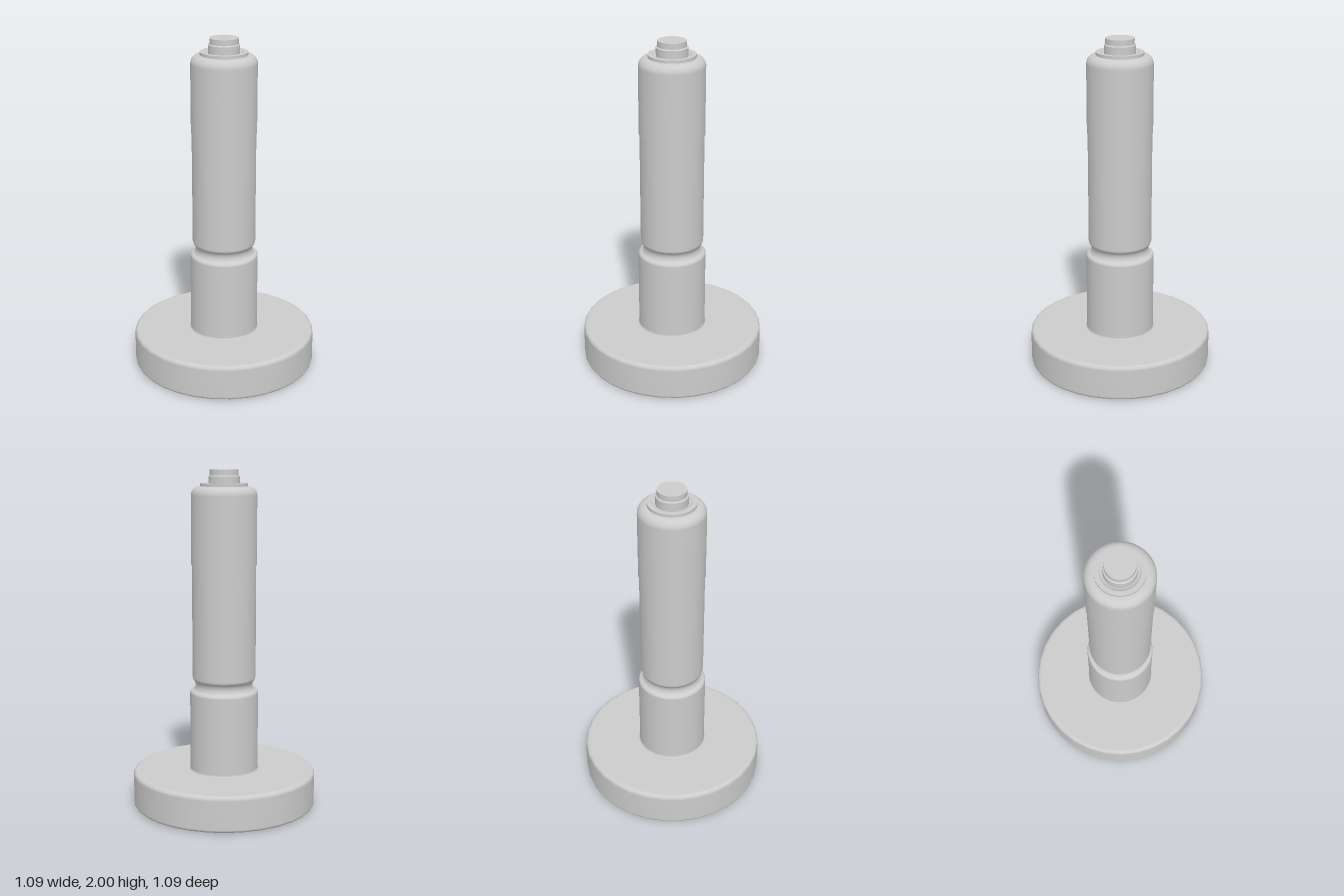
import * as THREE from 'three';

const SIDES = 32;
const material = new THREE.MeshStandardMaterial({ color: 0xcccccc });

// Quarter-round profile points, from angle a0 to a1 (degrees) about (cx, cy)
function arc(cx, cy, r, a0, a1, steps = 5) {
  return Array.from({ length: steps + 1 }, (_, i) => {
    const a = THREE.MathUtils.degToRad(a0 + ((a1 - a0) * i) / steps);
    return [cx + r * Math.cos(a), cy + r * Math.sin(a)];
  });
}

// Turned part: each run of [radius, height] points is smooth, runs meet in sharp edges
function turned(name, ...runs) {
  const group = new THREE.Group();
  group.name = name;
  runs.forEach((run, i) => {
    const points = run.map(([r, y]) => new THREE.Vector2(r, y));
    const mesh = new THREE.Mesh(new THREE.LatheGeometry(points, SIDES), material);
    mesh.name = `${name}Surface${i + 1}`;
    group.add(mesh);
  });
  return group;
}

export function createModel() {
  const model = new THREE.Group();
  model.name = 'levellingFoot';

  // Wide round foot with softened rims
  model.add(turned('footPlate', [
    [0, 0],
    ...arc(0.527, 0.02, 0.02, -90, 0),
    ...arc(0.522, 0.19, 0.025, 0, 90),
    [0.19, 0.215],
  ]));

  // Lower post with a small fillet at the foot and a rounded shoulder
  model.add(turned('lowerPost', [
    [0.21, 0.214], [0.205, 0.218], [0.203, 0.228],
    ...arc(0.183, 0.685, 0.02, 0, 80),
    [0.175, 0.712],
  ]));

  // Concave neck groove between the posts
  model.add(turned('neckGroove', [
    [0.184, 0.704], [0.174, 0.716], [0.169, 0.732], [0.171, 0.748], [0.178, 0.76], [0.188, 0.77],
  ]));

  // Long upper post, very slightly thicker above its seam, with a rounded top
  model.add(turned('upperPost',
    [[0.176, 0.758], [0.184, 0.767], [0.188, 0.782], [0.188, 1.45]],
    [[0.188, 1.45], [0.192, 1.45]],
    [[0.192, 1.45], ...arc(0.142, 1.855, 0.05, 0, 90, 7), [0.138, 1.905]],
  ));

  // Raised collar with a shallow dished centre
  model.add(turned('collar',
    [[0.138, 1.903], [0.138, 1.922]],
    [[0.138, 1.922], [0.112, 1.922]],
    [[0.112, 1.922], [0.104, 1.914], [0.088, 1.911]],
  ));

  // Stepped end pin
  model.add(turned('endPin',
    [[0.091, 1.908], [0.091, 1.962]],
    [[0.091, 1.962], [0.083, 1.967]],
    [[0.083, 1.967], [0.083, 2]],
    [[0.083, 2], [0, 2]],
  ));

  return model;
}
